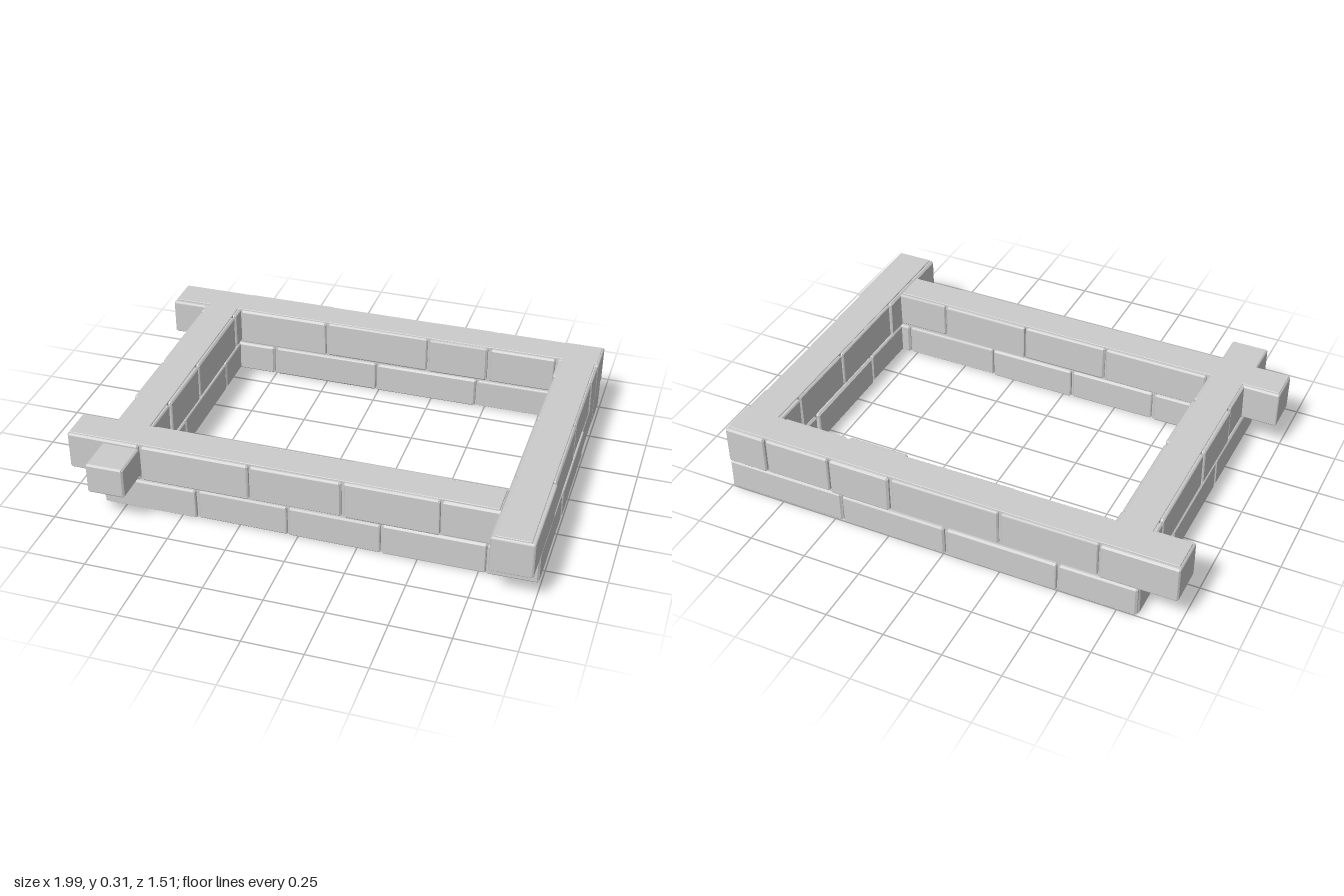
import * as THREE from 'three';

const mat = new THREE.MeshStandardMaterial({ color: 0xcccccc, flatShading: true });

// small seeded generator for the hand-cut irregularity
let seed = 7;
const rand = () => {
  seed = (seed * 16807) % 2147483647;
  return seed / 2147483647 - 0.5;
};

// chamfered block between two corners, slightly tapered and skewed
function block(name, min, max, wobble = 0.012, bevel = 0.007) {
  const geo = new THREE.BoxGeometry(2, 2, 2, 3, 3, 3);
  const p = geo.attributes.position;
  const half = max.map((m, i) => (m - min[i]) / 2);
  const mid = max.map((m, i) => (m + min[i]) / 2);
  const skew = [0, 1, 2].map(() => [rand(), rand(), rand()]);
  for (let i = 0; i < p.count; i++) {
    const u = [p.getX(i), p.getY(i), p.getZ(i)];
    const outer = u.map((c) => Math.abs(c) > 0.9);
    const edges = outer.filter(Boolean).length;
    const v = u.map((c, a) => {
      const s = Math.sign(c);
      // inner rings sit next to the edges, edges and corners are pulled in
      const reach = outer[a] ? half[a] - (edges - 1) * bevel * 0.45 : half[a] - bevel;
      const b = (a + 1) % 3, d = (a + 2) % 3;
      const bend = skew[a][0] * u[b] + skew[a][1] * u[d] + skew[a][2] * s;
      return mid[a] + s * reach + bend * wobble * (a === 1 ? 0.3 : 0.5);
    });
    p.setXYZ(i, ...v);
  }
  geo.computeVertexNormals();
  const mesh = new THREE.Mesh(geo, mat);
  mesh.name = name;
  return mesh;
}

// one straight course: blocks between the given joints, around a mortar core
function course(name, axis, joints, [y0, y1], [c0, c1], coreTop) {
  const group = new THREE.Group();
  group.name = name;
  const box = (a, b, lo, hi, k0, k1) =>
    axis === 'x' ? [[a, lo, k0], [b, hi, k1]] : [[k0, lo, a], [k1, hi, b]];
  const gap = 0.005;
  for (let i = 0; i < joints.length - 1; i++) {
    group.add(block('stone', ...box(joints[i] + gap, joints[i + 1] - gap, y0, y1, c0, c1)));
  }
  const first = joints[0], last = joints[joints.length - 1];
  group.add(block('mortarCore',
    ...box(first + 0.012, last - 0.012, y0 - 0.002, coreTop, c0 + 0.014, c1 - 0.014), 0, 0.002));
  return group;
}

export function createModel() {
  const model = new THREE.Group();
  model.name = 'stoneFoundation';
  const low = [0.004, 0.14], high = [0.147, 0.31];
  const front = [0.423, 0.588], back = [-0.755, -0.587];
  const right = [-0.84, -0.672], left = [0.822, 0.993];

  // lower course
  model.add(
    course('lowerFront', 'x', [-0.84, -0.43, -0.04, 0.35, 0.78, 0.995], low, front, 0.15),
    course('lowerBack', 'x', [-0.84, -0.5, -0.01, 0.46, 0.995], low, back, 0.15),
    course('lowerSideA', 'z', [-0.75, -0.39, 0.11, 0.59], low, right, 0.15),
    course('lowerSideB', 'z', [-0.75, -0.33, 0.14, 0.59], low, left, 0.15),
  );

  // upper course, with ends running past the corners
  model.add(
    course('upperFront', 'x', [-1, -0.67, -0.2, 0.19, 0.59, 0.83], high, front, 0.315),
    course('upperBack', 'x', [-1, -0.67, -0.25, 0.23, 0.51, 0.81, 1], high, back, 0.315),
    course('upperSideA', 'z', [-0.74, -0.53, -0.07, 0.25, 0.5], high, right, 0.315),
    course('upperSideB', 'z', [-0.745, -0.45, -0.1, 0.33, 0.753], high, left, 0.315),
  );

  // smaller projecting end stone at the front corner
  model.add(block('projectingStone', [-0.835, 0.163, 0.4], [-0.677, 0.297, 0.75], 0.006));
  return model;
}
